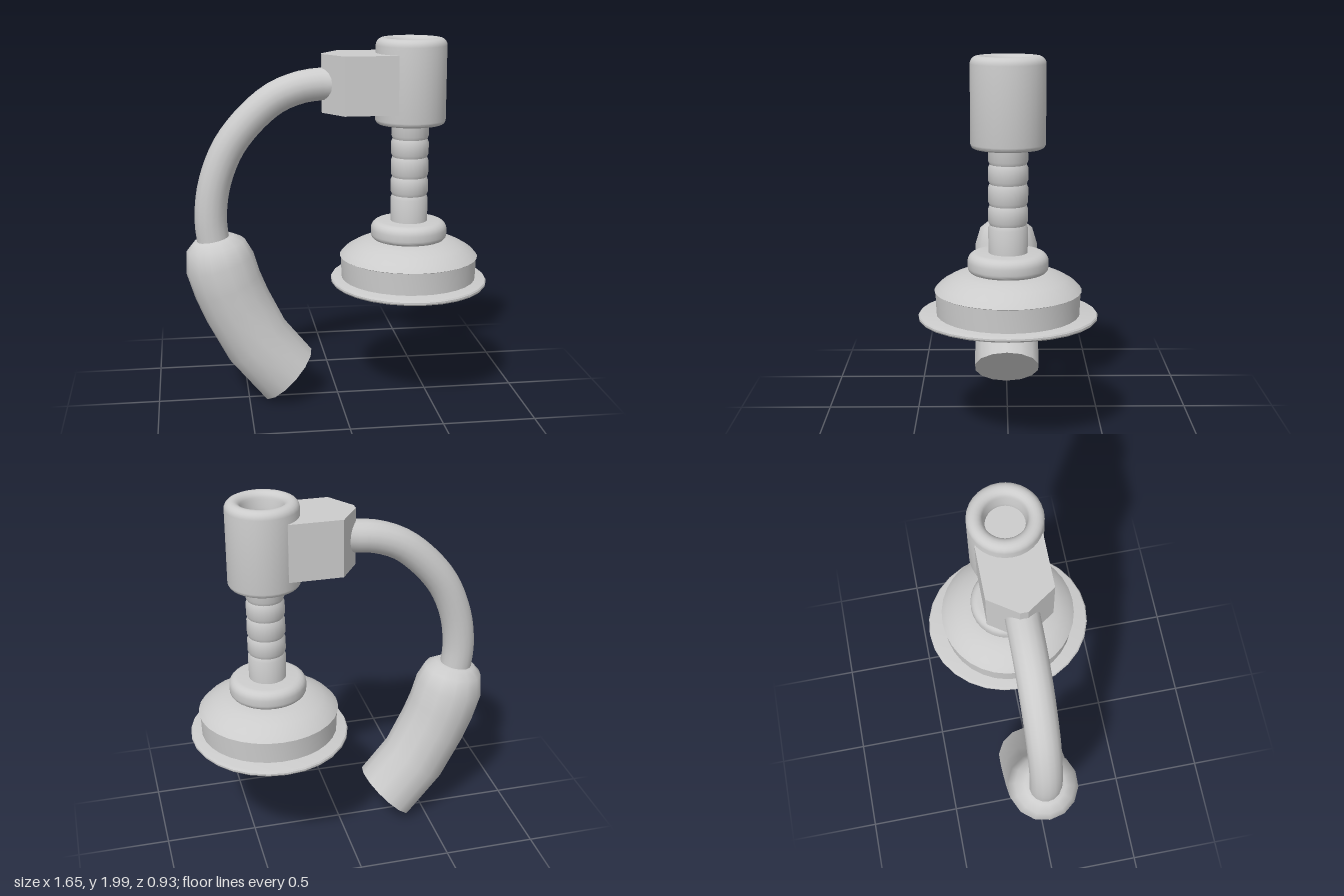
import * as THREE from 'three';
import { toCreasedNormals } from 'three/addons/utils/BufferGeometryUtils.js';

const material = new THREE.MeshStandardMaterial({ color: 0xcccccc, side: THREE.DoubleSide });
const AXIS_X = 0.395;

function addPart(group, name, geometry, crease = 0.6) {
  const mesh = new THREE.Mesh(toCreasedNormals(geometry, crease), material);
  mesh.name = name;
  group.add(mesh);
  return mesh;
}

// Turned part on the vertical axis; profile runs bottom to top as [radius, y]
function turned(group, name, profile, sides = 32) {
  const points = profile.map(([r, y]) => new THREE.Vector2(r, y));
  const mesh = addPart(group, name, new THREE.LatheGeometry(points, sides));
  mesh.position.x = AXIS_X;
  return mesh;
}

// Quarter-round corner from angle a0 to a1 (degrees)
function arc(cx, cy, r, a0, a1, steps = 5) {
  return Array.from({ length: steps + 1 }, (_, i) => {
    const a = THREE.MathUtils.degToRad(a0 + ((a1 - a0) * i) / steps);
    return [cx + r * Math.cos(a), cy + r * Math.sin(a)];
  });
}

// Skin of round sections [x, y, radius, tilt in degrees], closed at both ends
function sweep(sections, sides) {
  const positions = [];
  const indices = [];
  const rings = [[...sections[0]], ...sections, [...sections[sections.length - 1]]];
  rings[0][2] = rings[rings.length - 1][2] = 0;
  rings.forEach(([x, y, r, tilt], k) => {
    const t = THREE.MathUtils.degToRad(tilt);
    for (let i = 0; i < sides; i++) {
      const a = (i / sides) * Math.PI * 2;
      const u = r * Math.cos(a);
      positions.push(x + u * Math.cos(t), y + u * Math.sin(t), r * Math.sin(a));
      if (k === 0) continue;
      const j = (i + 1) % sides;
      const p = (k - 1) * sides;
      const q = k * sides;
      if (k > 1) indices.push(p + i, p + j, q + i);
      if (k < rings.length - 1) indices.push(p + j, q + j, q + i);
    }
  });
  const geometry = new THREE.BufferGeometry();
  geometry.setAttribute('position', new THREE.Float32BufferAttribute(positions, 3));
  geometry.setIndex(indices);
  return geometry;
}

export function createModel() {
  const model = new THREE.Group();
  model.name = 'suctionHolder';

  // Slightly oval suction flange
  const flange = turned(model, 'flange',
    [[0, 0.655], ...arc(0.415, 0.67, 0.015, -90, 90), [0, 0.685]], 28);
  flange.scale.z = 1.08;

  // Cup with upright skirt and domed top
  turned(model, 'cup', [[0.37, 0.675], [0.375, 0.805], [0.38, 0.808], [0.35, 0.84],
    [0.3, 0.87], [0.25, 0.892], [0.2, 0.905], [0, 0.905]]);

  // Collar with rounded rims
  turned(model, 'collar', [[0.19, 0.89], ...arc(0.178, 0.93, 0.03, -60, 0, 3),
    ...arc(0.163, 0.96, 0.045, 0, 90), [0, 1.005]]);

  // Rod with shallow grooves
  const rod = [[0.1, 0.99]];
  for (const y of [1.15, 1.25, 1.36, 1.46]) {
    rod.push([0.102, y - 0.018], [0.094, y], [0.102, y + 0.018]);
  }
  rod.push([0.1, 1.56]);
  turned(model, 'rod', rod, 24);

  // Rounded head with a recess in the top
  turned(model, 'head', [[0, 1.54], ...arc(0.165, 1.565, 0.025, -90, 0),
    ...arc(0.15, 1.96, 0.04, 0, 90), ...arc(0.15, 1.96, 0.04, 90, 180),
    [0.1, 1.92], [0.1, 1.9], [0, 1.9]]);

  // Clamp block, pointed where the arm enters
  const plan = new THREE.Shape([[0.3, -0.168], [0.3, 0.168], [0.015, 0.168],
    [-0.085, 0.02], [-0.085, -0.02], [0.015, -0.168]].map(([x, z]) => new THREE.Vector2(x, z)));
  const block = addPart(model, 'clampBlock',
    new THREE.ExtrudeGeometry(plan, { depth: 0.31, bevelEnabled: false }), 0.4);
  block.rotation.x = -Math.PI / 2;
  block.position.y = 1.61;

  // Curved arm
  const path = new THREE.CatmullRomCurve3([[-0.04, 1.765], [-0.2, 1.745], [-0.36, 1.675],
    [-0.565, 1.465], [-0.66, 1.25], [-0.688, 1.05], [-0.675, 0.9]]
    .map(([x, y]) => new THREE.Vector3(x, y, 0)));
  addPart(model, 'arm', new THREE.TubeGeometry(path, 24, 0.087, 16));

  // Bent handle with a tapered neck
  addPart(model, 'handle', sweep([[-0.675, 0.937, 0.11, 10], [-0.665, 0.9, 0.16, 11],
    [-0.645, 0.8, 0.19, 16], [-0.605, 0.67, 0.19, 22], [-0.555, 0.55, 0.19, 28],
    [-0.45, 0.345, 0.19, 36], [-0.283, 0.143, 0.19, 45]], 14), 0.9);

  return model;
}
